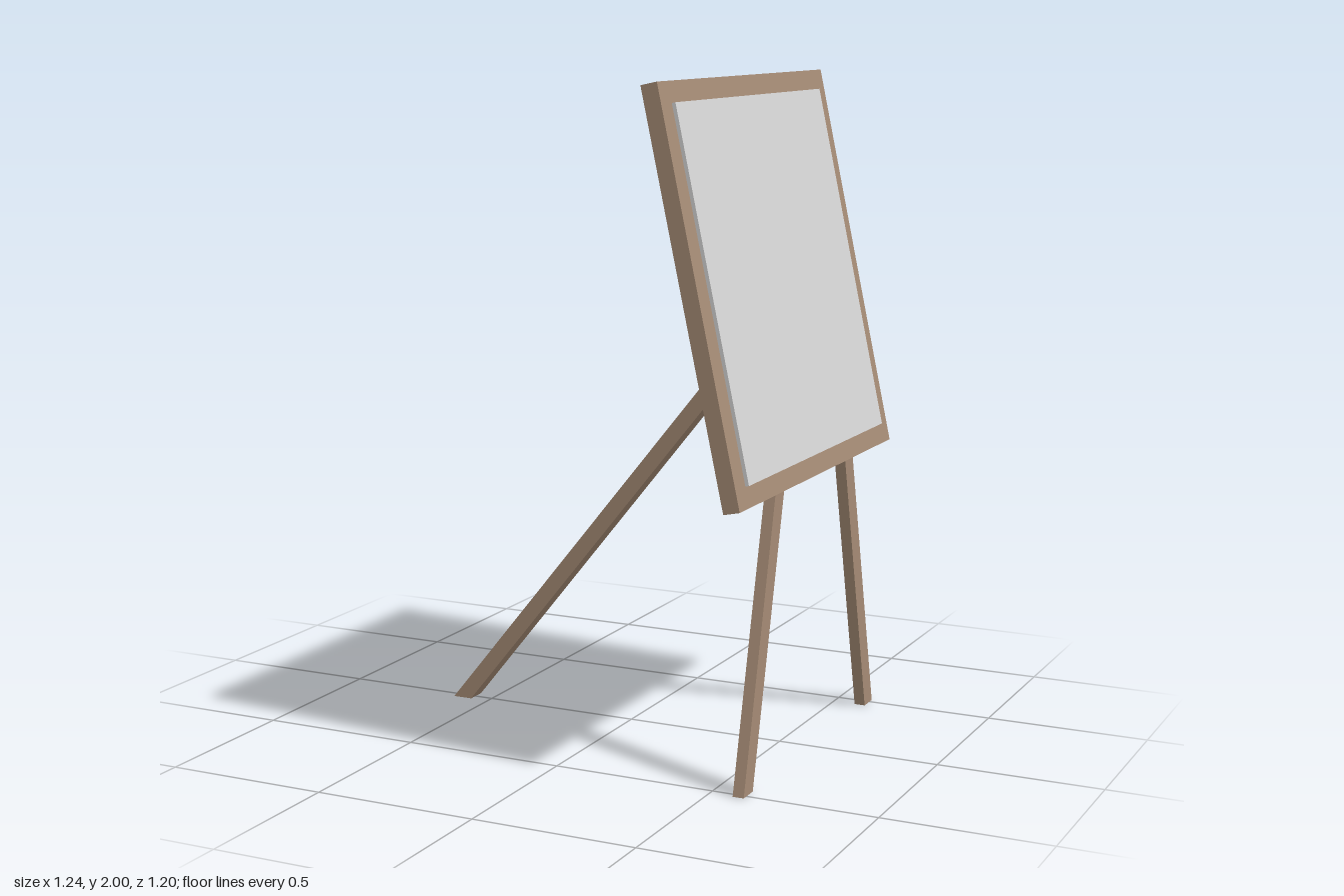
import * as THREE from 'three';

const wood = new THREE.MeshStandardMaterial({ color: 0xa58b75, side: THREE.DoubleSide });
wood.name = 'wood';
const sheet = new THREE.MeshStandardMaterial({ color: 0xd6d6d6 });
sheet.name = 'panelGrey';

// Flat polygon (with optional hole) extruded along z
function extrude(points, depth, hole) {
  const shape = new THREE.Shape(points.map(p => new THREE.Vector2(...p)));
  if (hole) shape.holes.push(new THREE.Path(hole.map(p => new THREE.Vector2(...p))));
  return new THREE.ExtrudeGeometry(shape, { depth, bevelEnabled: false });
}

const rect = (w, h) => [[-w / 2, -h / 2], [w / 2, -h / 2], [w / 2, h / 2], [-w / 2, h / 2]];

// Rectangular ring facing +x, its front at x = 0
function ring(w, h, insetW, insetH, depth) {
  return extrude(rect(w, h), depth, rect(w - 2 * insetW, h - 2 * insetH).reverse())
    .translate(0, 0, -depth).rotateY(Math.PI / 2);
}

function add(parent, name, geometry, material) {
  const mesh = new THREE.Mesh(geometry, material);
  mesh.name = name;
  parent.add(mesh);
  return mesh;
}

export function createModel() {
  const model = new THREE.Group();
  model.name = 'easelBoard';

  // Leaning board: hollow frame, open at the back, around a thick panel
  const W = 1.2, H = 1.187, T = 0.05, insetW = 0.068, insetH = 0.061;
  const pivot = new THREE.Group();
  pivot.name = 'board';
  pivot.position.set(0.62, 0.84, 0);
  pivot.rotation.z = 0.214;
  model.add(pivot);
  const board = new THREE.Group();
  board.name = 'framedPanel';
  board.position.y = H / 2;
  pivot.add(board);
  add(board, 'frameFront', ring(W, H, insetW, insetH, 0.004), wood);
  add(board, 'frameRim', ring(W, H, 0.003, 0.003, T), wood);
  const panel = add(board, 'panel',
    new THREE.BoxGeometry(T + 0.01, H - 2 * insetH, W - 2 * insetW), sheet);
  panel.position.x = (0.011 - T + 0.001) / 2;

  // Two splayed front legs with level feet
  for (const s of [1, -1]) {
    const pts = [[0.455, 0], [0.52, 0], [0.309, 0.834], [0.244, 0.834]].map(([z, y]) => [-s * z, y]);
    const leg = extrude(pts, 0.034).rotateY(Math.PI / 2).translate(0.571, 0, 0);
    add(model, s > 0 ? 'frontLegLeft' : 'frontLegRight', leg, wood);
  }

  // Long rear strut, cut to meet the back of the panel
  const strut = extrude([[-0.622, 0], [-0.56, 0], [0.475, 1.283], [0.462, 1.343]], 0.065)
    .translate(0, 0, -0.036);
  add(model, 'rearStrut', strut, wood);

  return model;
}
